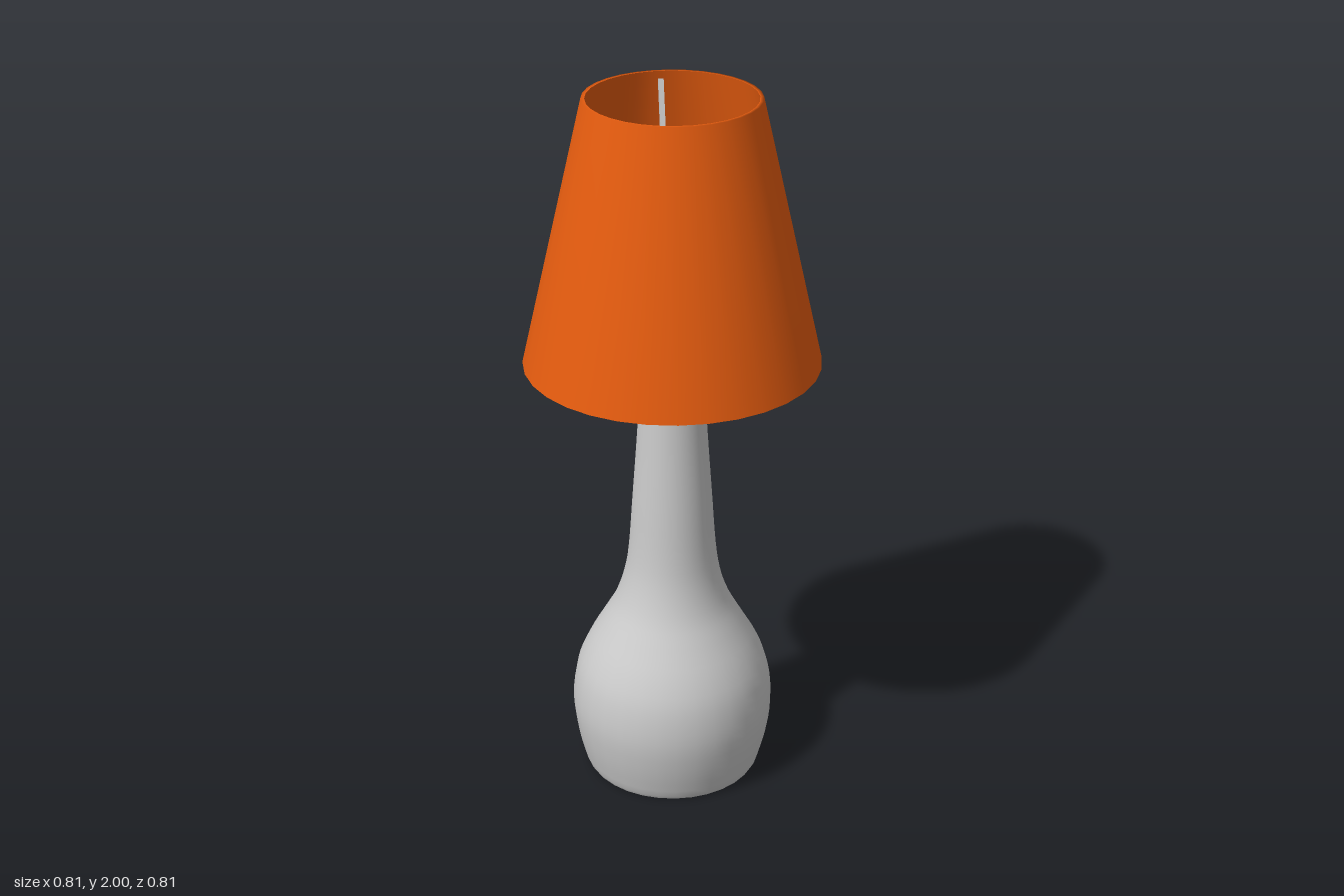
import * as THREE from 'three';

const SIDES = 32;
const vec2 = (pairs) => pairs.map(([r, y]) => new THREE.Vector2(r, y));

// Square rod running between two points
function rod(a, b, width, material) {
  const dir = b.clone().sub(a);
  const geo = new THREE.BoxGeometry(width, dir.length(), width);
  const mesh = new THREE.Mesh(geo, material);
  mesh.position.copy(a).add(b).multiplyScalar(0.5);
  mesh.quaternion.setFromUnitVectors(new THREE.Vector3(0, 1, 0), dir.normalize());
  return mesh;
}

export function createModel() {
  const grey = new THREE.MeshStandardMaterial({ color: 0xcacaca });
  grey.name = 'grey ceramic';
  const orange = new THREE.MeshStandardMaterial({ color: 0xe65c0f });
  orange.name = 'orange fabric';

  const lamp = new THREE.Group();
  lamp.name = 'tableLamp';
  const add = (name, geo, material) => {
    const mesh = new THREE.Mesh(geo, material);
    mesh.name = name;
    lamp.add(mesh);
    return mesh;
  };

  // Gourd-shaped body drawn out into a long neck
  const curve = new THREE.SplineCurve(vec2([
    [0.252, 0.012], [0.274, 0.1], [0.286, 0.2], [0.275, 0.3], [0.245, 0.38],
    [0.2, 0.46], [0.162, 0.53], [0.136, 0.61], [0.122, 0.7], [0.111, 0.85],
    [0.098, 1.03], [0.084, 1.25], [0.068, 1.5], [0.066, 1.56],
  ]));
  const profile = [new THREE.Vector2(0.245, 0), ...curve.getPoints(44)];
  add('body', new THREE.LatheGeometry(profile, SIDES), grey);
  const foot = add('foot', new THREE.CircleGeometry(0.245, SIDES), grey);
  foot.rotation.x = Math.PI / 2;

  // Round bulb on top of the neck
  const bulb = add('bulb', new THREE.SphereGeometry(0.077, SIDES, 20), grey);
  bulb.position.y = 1.61;

  // Tapered shade with a thin wall, open at both ends
  const wall = vec2([
    [0.225, 2], [0.395, 1.265], [0.404, 1.265], [0.235, 2], [0.225, 2],
  ]);
  add('shade', new THREE.LatheGeometry(wall, SIDES), orange);

  // Three bent arms that carry the shade
  const arms = new THREE.Group();
  arms.name = 'shadeArms';
  for (const degrees of [-84.5, 37.5, 162.5]) {
    const arm = new THREE.Group();
    arm.name = 'shadeArm';
    const elbow = new THREE.Vector3(0.118, 1.65, 0);
    arm.add(rod(new THREE.Vector3(0.03, 1.65, 0), elbow, 0.014, grey));
    arm.add(rod(elbow, new THREE.Vector3(0.223, 1.98, 0), 0.014, grey));
    arm.rotation.y = -THREE.MathUtils.degToRad(degrees);
    arms.add(arm);
  }
  lamp.add(arms);

  return lamp;
}
